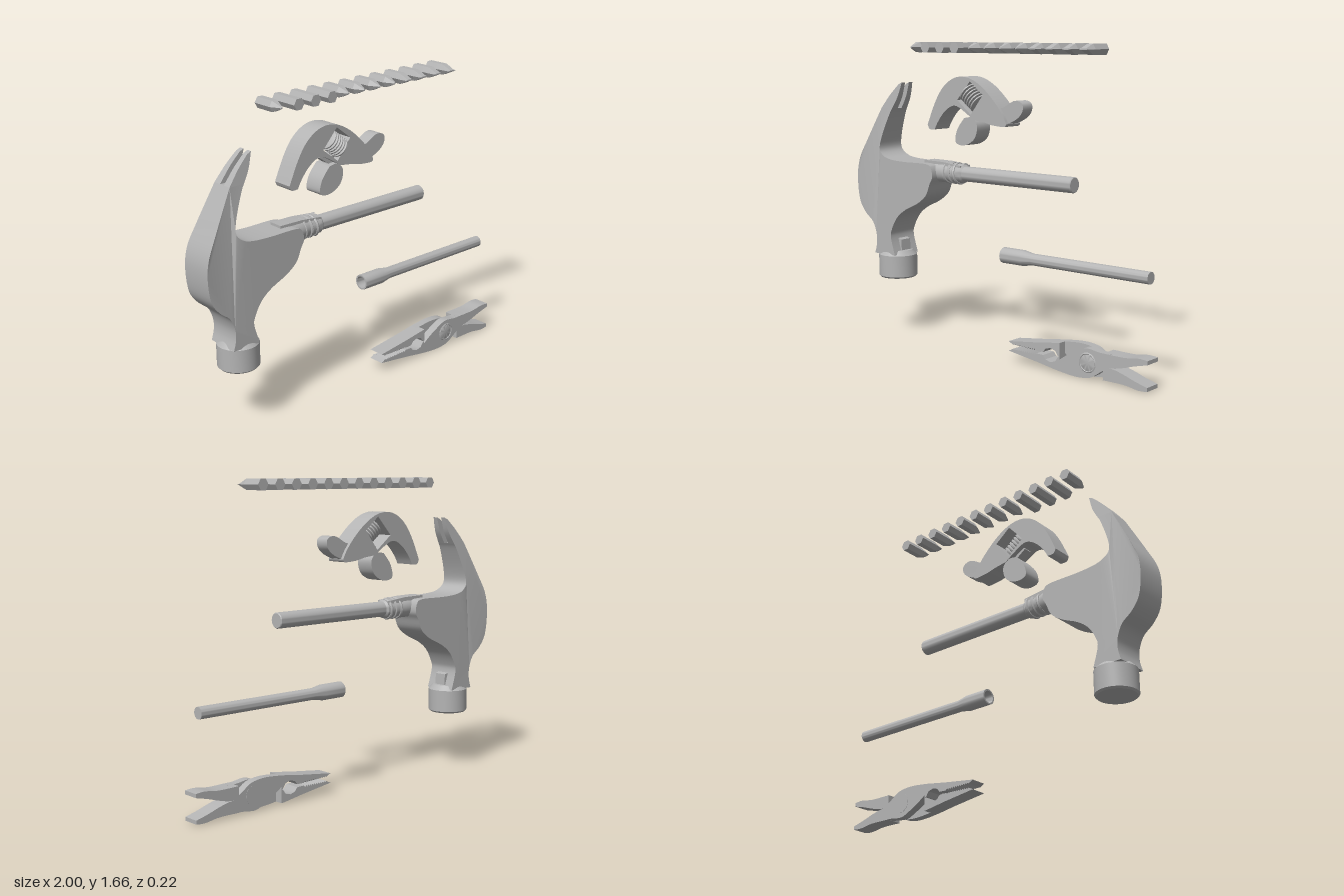
import * as THREE from 'three';
import { toCreasedNormals } from 'three/addons/utils/BufferGeometryUtils.js';

const steel = new THREE.MeshStandardMaterial({ color: 0xb4b4b4 });
steel.name = 'steel grey';

function part(name, geometry, crease = 0.6) {
  const mesh = new THREE.Mesh(toCreasedNormals(geometry, crease), steel);
  mesh.name = name;
  return mesh;
}

// Closed outline made of smooth runs that meet at sharp corners
function outline(...runs) {
  const shape = new THREE.Shape();
  shape.moveTo(...runs[0][0]);
  runs.forEach((run, i) => {
    const pts = (i ? run : run.slice(1)).map((p) => new THREE.Vector2(...p));
    if (pts.length === 1) shape.lineTo(pts[0].x, pts[0].y);
    else shape.splineThru(pts);
  });
  return shape;
}

const polygon = (pts) => new THREE.Shape(pts.map((p) => new THREE.Vector2(...p)));

// Extrusion from z = back(y) to z = front(y)
function plate(name, shape, back, front) {
  const at = (v, y) => (typeof v === 'function' ? v(y) : v);
  const geo = new THREE.ExtrudeGeometry(shape, { depth: 1, bevelEnabled: false, curveSegments: 4 });
  const p = geo.attributes.position;
  for (let i = 0; i < p.count; i++) {
    const y = p.getY(i);
    p.setZ(i, THREE.MathUtils.lerp(at(back, y), at(front, y), p.getZ(i)));
  }
  return part(name, geo);
}

const lathe = (pts, sides = 32) =>
  new THREE.LatheGeometry(pts.map((p) => new THREE.Vector2(...p)), sides);

// Turned part lying along x; points are [radius, x]
function rod(name, pts, y, z) {
  const mesh = part(name, lathe(pts).rotateZ(-Math.PI / 2));
  mesh.position.set(0, y, z);
  return mesh;
}

function group(name, ...children) {
  const g = new THREE.Group();
  g.name = name;
  g.add(...children);
  return g;
}

function hammer() {
  // Head narrows toward the claw tips
  const half = (y) => 0.092 - 0.05 * THREE.MathUtils.clamp((y - 1.02) / 0.416, 0, 1);
  const body = outline(
    [[-0.83, 1.29], [-0.925, 1.11], [-0.985, 0.985], [-1, 0.88], [-0.985, 0.76], [-0.94, 0.69],
      [-0.88, 0.64], [-0.852, 0.575], [-0.85, 0.515], [-0.865, 0.46]],
    [[-0.705, 0.46]],
    [[-0.735, 0.56], [-0.727, 0.61], [-0.685, 0.68], [-0.62, 0.73], [-0.525, 0.775], [-0.46, 0.825],
      [-0.43, 0.89], [-0.41, 0.93], [-0.42, 0.98], [-0.46, 1.0], [-0.63, 1.0], [-0.74, 1.008],
      [-0.797, 1.03], [-0.823, 1.07], [-0.807, 1.147], [-0.765, 1.255], [-0.746, 1.29]]);
  const prong = outline(
    [[-0.746, 1.29], [-0.71, 1.355], [-0.685, 1.436]],
    [[-0.708, 1.426]],
    [[-0.77, 1.365], [-0.83, 1.29]]);
  const face = part('strikingFace', lathe(
    [[0, 0.325], [0.1, 0.325], [0.109, 0.334], [0.109, 0.455], [0.085, 0.482], [0, 0.49]], 40));
  face.position.x = -0.772;

  // Spiral winding on the collar
  const coil = [];
  for (let i = 0; i <= 48; i++) {
    const a = (i / 48) * Math.PI * 6;
    coil.push(new THREE.Vector3(-0.37 + 0.11 * i / 48, 0.955 + 0.052 * Math.cos(a), 0.003 + 0.052 * Math.sin(a)));
  }
  return group('hammer',
    plate('hammerHead', body, (y) => -half(y), half),
    plate('frontClawProng', prong, 0.015, half),
    plate('backClawProng', prong, (y) => -half(y), -0.015),
    face,
    plate('neckTab', polygon([[-0.76, 0.46], [-0.705, 0.46], [-0.71, 0.545], [-0.76, 0.56]]), -0.035, 0.035),
    rod('handle', [[0, -0.5], [0.041, -0.5], [0.041, 0.487], [0.037, 0.491], [0, 0.491]], 0.955, 0.003),
    rod('collar', [[0, -0.46], [0.057, -0.46], [0.057, -0.37], [0.052, -0.35], [0.053, -0.29],
      [0.05, -0.25], [0.041, -0.24]], 0.955, 0.003),
    part('collarWinding', new THREE.TubeGeometry(new THREE.CatmullRomCurve3(coil), 96, 0.009, 6)),
    plate('collarTongue', polygon([[-0.515, 0.97], [-0.25, 0.97], [-0.25, 1.0], [-0.38, 1.013],
      [-0.515, 1.015]]), -0.04, 0.04));
}

function adjustableWrench() {
  const frame = outline(
    [[-0.47, 1.215], [-0.455, 1.19], [-0.417, 1.19]],
    [[-0.396, 1.228], [-0.353, 1.281], [-0.30, 1.318], [-0.257, 1.323], [-0.203, 1.297], [-0.134, 1.254]],
    [[-0.06, 1.245], [-0.005, 1.233], [0.075, 1.228], [0.09, 1.243]],
    [[0.064, 1.29], [0.01, 1.355], [-0.07, 1.425], [-0.15, 1.468], [-0.23, 1.48], [-0.30, 1.46],
      [-0.364, 1.41], [-0.417, 1.33], [-0.47, 1.215]]);
  frame.holes.push(new THREE.Path([[-0.16, 1.457], [-0.251, 1.356], [-0.155, 1.281], [-0.07, 1.388]]
    .map((p) => new THREE.Vector2(...p))));
  const stub = outline(
    [[0.0, 1.27], [0.07, 1.237]],
    [[0.144, 1.27], [0.183, 1.31], [0.18, 1.352], [0.128, 1.364], [0.05, 1.325], [0.0, 1.33]]);
  const jaw = outline(
    [[-0.205, 1.262], [-0.15, 1.266], [-0.115, 1.225], [-0.13, 1.16], [-0.18, 1.123], [-0.235, 1.115],
      [-0.27, 1.135], [-0.255, 1.2], [-0.205, 1.262]]);

  // Ridged adjusting worm
  const worm = [[0, -0.055]];
  for (let i = 0; i < 6; i++) {
    const y = -0.055 + i * 0.0183;
    worm.push([0.04, y], [0.055, y + 0.005], [0.055, y + 0.012], [0.04, y + 0.017]);
  }
  worm.push([0, 0.055]);
  const knurl = part('adjustingWorm', lathe(worm, 24));
  knurl.position.set(-0.16, 1.37, 0.03);
  knurl.rotation.z = 0.92;

  const rail = part('jawRail', new THREE.BoxGeometry(0.12, 0.022, 0.05));
  rail.position.set(-0.19, 1.282, 0);
  rail.rotation.z = -0.6;
  return group('adjustableWrench',
    plate('wrenchFrame', frame, -0.053, 0.06),
    plate('wrenchStub', stub, -0.035, 0.042),
    plate('slidingJaw', jaw, -0.05, 0.055),
    plate('jawNeck', polygon([[-0.19, 1.24], [-0.15, 1.24], [-0.15, 1.3], [-0.19, 1.3]]), -0.02, 0.025),
    knurl, rail);
}

// One lever: lower jaw, half-depth middle and upper handle, centred on the pivot axis
function plierLever(name) {
  const jaw = [[0.135, 0.058], [0.33, 0.032], [0.45, 0.013], [0.47, 0.011], [0.47, 0.084], [0.46, 0.082],
    [0.442, 0.056], [0.41, 0.047], [0.38, 0.056], [0.364, 0.076], [0.32, 0.077]];
  for (let i = 0; i < 11; i++) {
    const x = 0.31 - i * 0.014;
    jaw.push([x, 0.068], [x - 0.007, 0.077 - i * 0.0004]);
  }
  const middle = outline(
    [[0.45, 0.013], [0.57, 0.002], [0.66, 0.013], [0.72, 0.05], [0.785, 0.09]],
    [[0.78, 0.152]],
    [[0.72, 0.152], [0.64, 0.16], [0.58, 0.137], [0.52, 0.105], [0.455, 0.06]]);
  const handle = outline(
    [[0.74, 0.084], [0.80, 0.086], [0.86, 0.10], [0.93, 0.122], [1, 0.14]],
    [[1, 0.16]],
    [[0.945, 0.163], [0.865, 0.152], [0.74, 0.152]]);
  const lever = group(name,
    plate('jaw', polygon(jaw), 0, 0.09),
    plate('joint', middle, 0.045, 0.09),
    plate('handle', handle, 0, 0.09));
  lever.children.forEach((m) => m.geometry.translate(0, -0.084, -0.045));
  lever.position.set(0, 0.084, 0.045);
  return lever;
}

function pliers() {
  const back = plierLever('backLever');
  back.rotation.x = Math.PI;
  const pivot = part('pivot', lathe([[0, -0.046], [0.052, -0.046], [0.052, 0.045], [0.046, 0.049],
    [0.043, 0.046], [0, 0.046]]).rotateX(Math.PI / 2));
  pivot.position.set(0.645, 0.087, 0.045);
  return group('pliers', plierLever('frontLever'), back, pivot);
}

// Hex bit whose tip section is scaled at the end
function bit(name, x, sx, sy) {
  const geo = new THREE.CylinderGeometry(0.032, 0.032, 0.168, 6, 3).rotateY(Math.PI / 6).rotateX(Math.PI / 2);
  const p = geo.attributes.position;
  for (let i = 0; i < p.count; i++) {
    if (p.getZ(i) > 0.08) p.setXY(i, p.getX(i) * sx, p.getY(i) * sy);
  }
  const mesh = part(name, geo, 0.1);
  mesh.position.set(x, 1.632, 0.024);
  return mesh;
}

function bitSet() {
  const set = new THREE.Group();
  set.name = 'bitSet';
  for (let i = 0; i < 12; i++) {
    const x = -0.545 + i * 0.1055;
    if (i >= 1 && i <= 3) set.add(bit('hexBit', x, 1, 1));
    else if (i < 8) set.add(bit('pointedBit', x, 0.15, 0.15));
    else set.add(bit('slottedBit', x, 0.85, 0.12));
  }
  return set;
}

export function createModel() {
  const model = group('toolSet', hammer(), adjustableWrench(), pliers(), bitSet());
  // Hollow-ended socket driver
  model.add(rod('socketDriver', [[0, 0.12], [0.033, 0.12], [0.033, 0.045], [0.042, 0.045], [0.042, 0.18],
    [0.031, 0.24], [0.031, 0.965], [0, 0.965]], 0.548, 0.02));
  return model;
}
